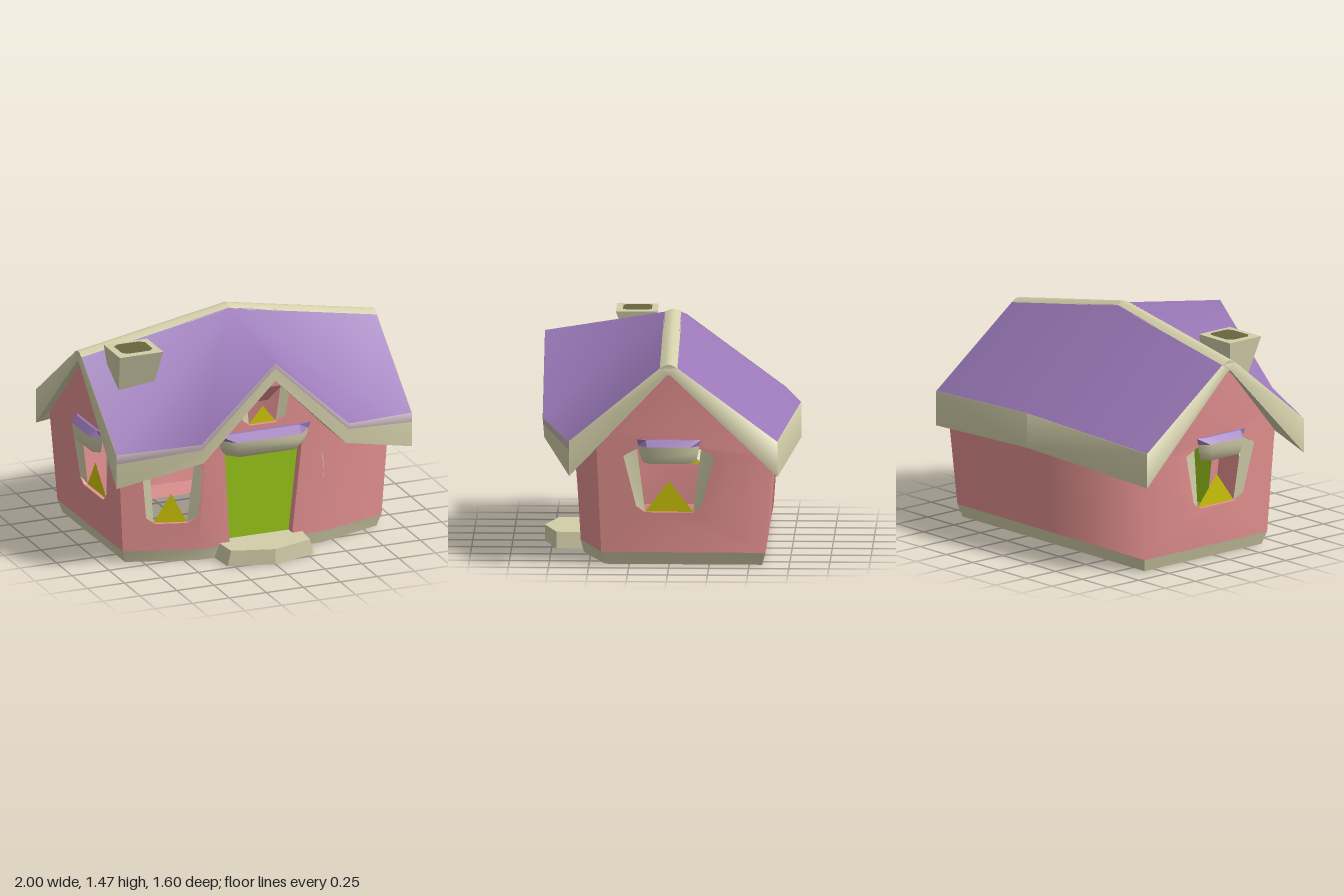
import * as THREE from 'three';
import { mergeGeometries, toCreasedNormals } from 'three/addons/utils/BufferGeometryUtils.js';

const paint = (name, color) => {
  const m = new THREE.MeshStandardMaterial({ color, side: THREE.DoubleSide });
  m.name = name;
  return m;
};

// Surface through rows of 3D points; optionally closes each row into a ring
function loft(rows, { closed = false, crease = 0.5 } = {}) {
  const pos = [];
  for (let r = 0; r < rows.length - 1; r++) {
    const a = rows[r], b = rows[r + 1], n = a.length;
    for (let i = 0; i < (closed ? n : n - 1); i++) {
      const j = (i + 1) % n;
      pos.push(...a[i], ...b[i], ...b[j], ...a[i], ...b[j], ...a[j]);
    }
  }
  return finish(pos, crease);
}

// Fan of triangles around the first point
function fan(pts, crease = 0.5) {
  const pos = [];
  for (let i = 1; i < pts.length - 1; i++) pos.push(...pts[0], ...pts[i], ...pts[i + 1]);
  return finish(pos, crease);
}

function finish(pos, crease) {
  const g = new THREE.BufferGeometry();
  g.setAttribute('position', new THREE.Float32BufferAttribute(pos, 3));
  g.computeVertexNormals();
  return toCreasedNormals(g, crease);
}

const shapeOf = (pts) => new THREE.Shape(pts.map(([x, y]) => new THREE.Vector2(x, y)));
const flip = (pts, s = -1) => pts.map(([x, ...rest]) => [x * s, ...rest]);
const mix = (a, b, t) => a.map((v, i) => v + (b[i] - v) * t);

// Flat outline with holes, laid onto a wall plane by place(u, y, outward)
function panel(outline, place, holes = []) {
  const shape = shapeOf(outline);
  shape.holes = holes.map(shapeOf);
  const g = new THREE.ShapeGeometry(shape).toNonIndexed();
  const p = g.attributes.position;
  for (let i = 0; i < p.count; i++) p.setXYZ(i, ...place(p.getX(i), p.getY(i), 0));
  g.computeVertexNormals();
  return g;
}

// Wall planes, all leaning outward a little
const onWing = (x, y, o) => [x, y, 0.42 + (0.87 - Math.abs(x)) * 0.31 + 0.06 * y + o];
const onFacade = (x, y, o) => [x, y, 0.56 + 0.06 * y + o];
const onSide = (z, y, o) => [0.87 + 0.06 * y + (0.44 - z) * 0.012 + o, y, z];
const onBack = (x, y, o) => [x, y, -(0.595 + 0.075 * y) - o];
const onDoor = (x, y, o) => [x, y, 0.5 + 0.06 * y + o];

// Window: centre, bottom, top, half widths, frame width, pane height
const windows = {
  wing: { c: 0.585, y0: 0.26, y1: 0.66, hb: 0.1, ht: 0.135, f: 0.05, pane: 0.195 },
  side: { c: 0, y0: 0.335, y1: 0.74, hb: 0.15, ht: 0.2, f: 0.085, pane: 0.195 },
  attic: { c: 0, y0: 0.87, y1: 1.115, hb: 0.09, ht: 0.12, f: 0.05, pane: 0.115 },
};
// Frame corners on one side: inner bottom, outer bottom, outer top, inner top
const frameOf = (w, s) =>
  [[w.hb, w.y0], [w.hb + 0.055, w.y0 + 0.04], [w.ht + w.f, w.y1 - 0.045], [w.ht, w.y1]].map(([u, y]) => [w.c + s * u, y]);
const opening = (w) => [...frameOf(w, 1), ...frameOf(w, -1).reverse()];

export function createModel() {
  const pink = paint('wallPink', 0xea9494);
  const purple = paint('roofPurple', 0x9a78b8);
  const cream = paint('trimCream', 0xd3cfaa);
  const mauve = paint('eaveMauve', 0xbcaab2);
  const green = paint('doorGreen', 0x9ac81a);
  const yellow = paint('panePaneYellow', 0xd2c90a);
  const dark = paint('flueDark', 0x69643f);

  const model = new THREE.Group();
  model.name = 'cottage';
  const add = (parent, name, geometry, material) => {
    const m = new THREE.Mesh(geometry, material);
    m.name = name;
    parent.add(m);
    return m;
  };

  // Window set back into the wall, with splayed cream sides
  const addWindow = (parent, name, w, place) => {
    const g = new THREE.Group();
    g.name = name;
    parent.add(g);
    const inset = 0.025;
    const L = frameOf(w, -1), R = frameOf(w, 1);
    const out = ([u, y]) => place(u, y, 0), deep = ([u, y]) => place(u, y, -inset);
    for (const f of [L, R]) add(g, 'frame', fan([deep(f[0]), out(f[1]), out(f[2]), deep(f[3])], 1), cream);
    for (const [edge, inner, outer] of [['sill', 0, 1], ['head', 3, 2]]) {
      add(g, edge, loft([
        [out(L[outer]), out(L[inner]), out(R[inner]), out(R[outer])],
        [out(L[outer]), deep(L[inner]), deep(R[inner]), out(R[outer])],
      ]), pink);
    }
    add(g, 'pane', fan([deep(L[0]), deep(R[0]), deep([w.c, w.y0 + w.pane])]), yellow);
  };

  // Small canopy: sloped top over a tapering, bowed valance
  const addAwning = (parent, name, w, d, y, place) => {
    const g = new THREE.Group();
    g.name = name;
    parent.add(g);
    const row = (dy, back, front, out) =>
      [[-w * back, 0], [-w * front, out], [w * front, out], [w * back, 0]].map(([u, o]) => place(u, y - dy, o));
    const ledge = row(0, 1, 0.72, d * 0.3), rim = row(0.04, 0.95, 0.68, d), foot = row(0.148, 0.78, 0.58, d * 0.7);
    add(g, 'awningTop', loft([ledge, rim]), purple);
    add(g, 'awningLid', fan(ledge), purple);
    add(g, 'awningValance', loft([rim, row(0.085, 0.92, 0.66, d), row(0.125, 0.86, 0.62, d * 0.9), foot], { crease: 0.9 }), cream);
    add(g, 'awningUnderside', fan(foot), cream);
  };

  // Front walls: angled wings either side of a gabled facade with the door cut out
  const wing = (s) => panel(flip([[0.42, 0.08], [0.875, 0.08], [0.922, 0.87], [0.42, 0.9]], s), onWing,
    [flip(opening(windows.wing), s)]);
  const facade = panel([[-0.42, 0.08], [-0.21, 0.08], [-0.26, 0.7], [0.26, 0.7], [0.21, 0.08], [0.42, 0.08],
    [0.42, 0.9], [0, 1.27], [-0.42, 0.9]], onFacade, [opening(windows.attic)]);
  add(model, 'frontWall', toCreasedNormals(mergeGeometries([wing(1), facade, wing(-1)]), 0.6), pink);
  addWindow(model, 'atticWindow', windows.attic, onFacade);
  add(model, 'atticCeiling', fan([[-0.2, 1.13, 0.55], [0.2, 1.13, 0.55], [0.2, 0.86, 0.2], [-0.2, 0.86, 0.2]]), pink);

  // Roof corner points of one half
  const peak = [0, 1.45, 0.05], end = [1, 1.265, 0.05];
  const backPeak = [0, 1.45, -0.05], backEnd = [1, 1.265, -0.05];
  const valley = [0.5, 0.86, 0.8], corner = [1, 0.8, 0.62], gable = [0, 1.33, 0.8];
  const backCorner = [1, 0.8, -0.68], backMid = [0, 0.88, -0.8];

  // Roof skins: sagging main roof flowing into the front gable
  const [endR, cornerR, valleyR, backCornerR, backEndR] = flip([end, corner, valley, backCorner, backEnd]);
  add(model, 'frontRoof', fan([peak, end, corner, valley, gable, valleyR, cornerR, endR], 1.6), purple);
  add(model, 'backRoof', fan([backPeak, backEndR, backCornerR, backMid, backCorner, backEnd]), purple);

  // Everything mirrored about the centre line
  for (const s of [1, -1]) {
    const half = new THREE.Group();
    half.name = s > 0 ? 'leftHalf' : 'rightHalf';
    half.scale.x = s;
    model.add(half);

    // Side and back wall, softly shaded round the rear corner
    const rearZ = (y) => -(0.595 + 0.075 * y), rearX = (y) => onSide(rearZ(y), y, 0)[0];
    const side = panel([[0.4235, 0.08], [rearZ(0.08), 0.08], [rearZ(0.69), 0.69], [0, 1.25], [0.457, 0.87]], onSide,
      [opening(windows.side)]);
    const back = panel([[0, 0.08], [rearX(0.08), 0.08], [rearX(0.69), 0.69], [0, 0.76]], onBack);
    add(half, 'sideAndBackWall', toCreasedNormals(mergeGeometries([side, back]), 1.8), pink);
    addWindow(half, 'wingWindow', windows.wing, onWing);
    addWindow(half, 'sideWindow', windows.side, onSide);
    addAwning(half, 'sideAwning', 0.2, 0.06, 0.8, onSide);

    // Door jamb
    const jamb = (place) => [[0.21, 0.08], [0.26, 0.7]].map(([x, y]) => place(x, y, 0));
    add(half, 'doorJamb', loft([jamb(onDoor), jamb(onFacade)]), pink);

    // Base, with a pink lining on the inside
    const plan = [[0.215, 0.565], [0.42, 0.565], [0.875, 0.423], [rearX(0.08), -0.601], [0, -0.601]];
    const foot = [[0.215, 0.545], [0.415, 0.545], [0.85, 0.4], [0.86, -0.58], [0, -0.58]];
    const ring = (pts, y, k = 1) => pts.map(([x, z]) => [x * k, y, z * k]);
    add(half, 'base', loft([ring(plan, 0.08), ring(foot, 0)]), cream);
    add(half, 'baseLining', loft([ring(plan, 0.08, 0.995), ring(foot, 0.001, 0.995)]), pink);

    // Fascia and soffit along the front, end and back edges
    const top = [gable, valley, corner, end, backEnd, backCorner, backMid];
    const lip = top.map(([x, y, z]) => [x * 0.997, y + 0.003, z * 0.997]);
    const bottom = [[0, 1.22, 0.8], [0.48, 0.735, 0.79], [1, 0.58, 0.62], [1, 1.22, 0.01], [1, 1.22, -0.01],
      [1, 0.58, -0.68], [0, 0.66, -0.8]];
    const inner = [[0, 1.25, 0.62], [0.42, 0.79, 0.6], [0.91, 0.74, 0.45], [0.935, 1.24, 0.01], [0.935, 1.24, -0.01],
      [0.915, 0.66, -0.64], [0, 0.73, -0.645]];
    const band = top.map((p, i) => mix(p, bottom[i], 0.26));
    const cut = (rows, from, to) => loft(rows.map((row) => row.slice(from, to)), { crease: 1.3 });
    add(half, 'frontEaveBand', cut([lip, top, band], 0, 3), mauve);
    add(half, 'frontTrim', cut([band, bottom, inner], 0, 3), cream);
    add(half, 'endTrim', cut([lip, top, bottom, inner], 2, 6), cream);
    add(half, 'backTrim', cut([lip, top, bottom, inner], 5, 7), cream);

    // Ridge cap
    const cap = (x, y) => [[x, y - 0.02, 0.055], [x, y, 0.02], [x, y + 0.004, 0], [x, y, -0.02], [x, y - 0.02, -0.055]];
    add(half, 'ridgeCap', loft([cap(0, 1.466), cap(1, 1.284)], { crease: 1 }), cream);
    add(half, 'ridgeCapEnd', fan([...cap(1, 1.284), [1, 1.22, 0]]), cream);
  }

  // Door, canopy and step
  add(model, 'door', panel([[-0.21, 0.08], [0.21, 0.08], [0.26, 0.7], [-0.26, 0.7]], onDoor), green);
  addAwning(model, 'doorAwning', 0.32, 0.09, 0.84, onFacade);
  const step = (y, k) => [[-0.31, 0.5], [-0.29, 0.72], [0, 0.8], [0.29, 0.72], [0.31, 0.5]].map(([x, z]) => [x * k, y, z]);
  add(model, 'stepSides', loft([step(0, 1), step(0.1, 0.92)], { closed: true, crease: 0.1 }), cream);
  add(model, 'stepTop', fan(step(0.1, 0.92)), cream);
  add(model, 'stepBottom', fan(step(0, 1)), cream);

  // Chimney, flaring upward, with a dark flue opening
  const square = (y, hx, z0, z1) => [[-hx, z0], [hx, z0], [hx, z1], [-hx, z1]].map(([x, z]) => [x - 0.727, y, z]);
  const rim = square(1.35, 0.147, 0.115, 0.375);
  add(model, 'chimney', loft([square(1.0, 0.105, 0.16, 0.25), rim], { closed: true, crease: 0.1 }), cream);
  add(model, 'chimneyTop', fan(rim), cream);
  const flue = [];
  for (const [sx, sz] of [[1, 1], [-1, 1], [-1, -1], [1, -1]]) {
    const a = [-0.727 + sx * 0.105, 1.354, 0.242 + sz * 0.06], b = [-0.727 + sx * 0.075, 1.354, 0.242 + sz * 0.09];
    flue.push(...(sx * sz > 0 ? [a, b] : [b, a]));
  }
  add(model, 'flue', fan(flue), dark);

  return model;
}
